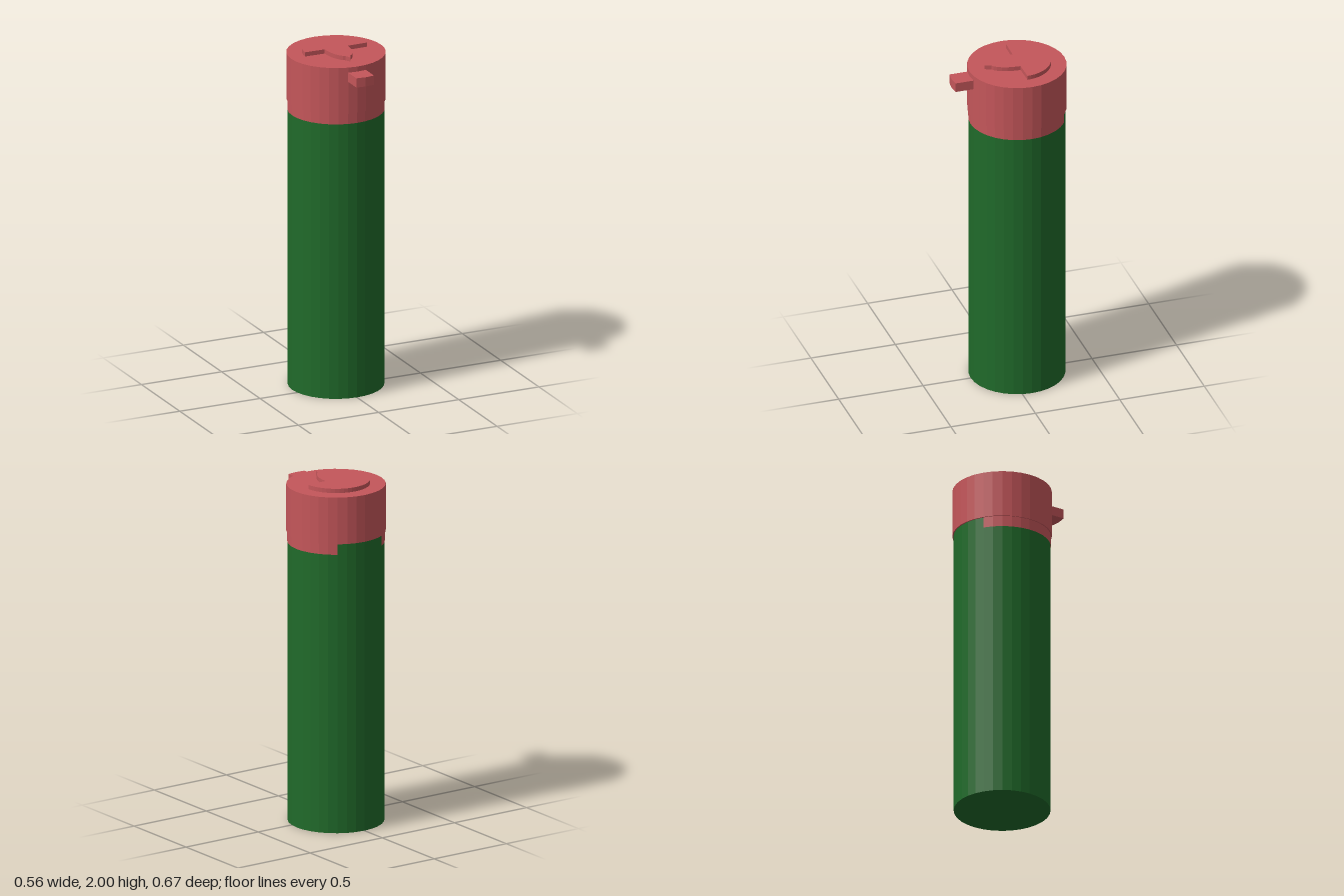
import * as THREE from 'three';

const SIDES = 32;
const AXIS_Z = -0.055; // the barrel axis sits slightly behind the origin
const red = new THREE.MeshStandardMaterial({ color: 0xc4565a, flatShading: true });
const redThin = new THREE.MeshStandardMaterial({ color: 0xc4565a, flatShading: true, side: THREE.DoubleSide });
const green = new THREE.MeshStandardMaterial({ color: 0x206a2a, flatShading: true });

function part(name, geometry, material) {
  const mesh = new THREE.Mesh(geometry, material);
  mesh.name = name;
  return mesh;
}

// Upright cylinder on the barrel axis between two heights
function drum(name, radius, y0, y1, material) {
  const mesh = part(name, new THREE.CylinderGeometry(radius, radius, y1 - y0, SIDES), material);
  mesh.position.set(0, (y0 + y1) / 2, AXIS_Z);
  return mesh;
}

// Plan outline (x, z) mirrored across x = 0 and raised from y0 to y1
function plate(name, half, y0, y1, material) {
  const points = half.map(([x, z]) => new THREE.Vector2(x, -z));
  const mirrored = half.filter(([x]) => x > 0).reverse().map(([x, z]) => new THREE.Vector2(-x, -z));
  const geometry = new THREE.ExtrudeGeometry(new THREE.Shape([...points, ...mirrored]), {
    depth: y1 - y0, bevelEnabled: false,
  });
  geometry.rotateX(-Math.PI / 2);
  geometry.translate(0, y0, 0);
  return part(name, geometry, material);
}

export function createModel() {
  const group = new THREE.Group();

  group.add(drum('body', 0.273, 0, 1.71, green));
  group.add(drum('lid', 0.28, 1.70, 1.975, red));

  // Collar under the lid, open over six facets at the back
  const gap = 3 * (2 * Math.PI / SIDES);
  const collar = part('collar', new THREE.CylinderGeometry(
    0.2745, 0.2745, 0.07, SIDES - 6, 1, true, Math.PI + gap, 2 * Math.PI - 2 * gap), redThin);
  collar.position.set(0, 1.672, AXIS_Z);
  group.add(collar);

  // Front tab with a slightly bowed tip
  group.add(plate('tab', [[0, 0.15], [0.055, 0.15], [0.055, 0.326], [0, 0.332]], 1.89, 1.945, red));

  // Raised relief on top: half-round cap, then a tapering stem ending in a point
  const relief = [];
  for (let i = 0; i <= 12; i++) {
    const a = (i / 12) * Math.PI / 2;
    relief.push([0.192 * Math.sin(a), AXIS_Z - 0.192 * Math.cos(a)]);
  }
  relief.push([0.072, -0.053], [0.069, -0.015], [0.063, 0.02], [0.053, 0.05],
    [0.04, 0.075], [0.027, 0.092], [0.014, 0.101], [0, 0.137]);
  group.add(plate('topRelief', relief, 1.97, 2.0, red));

  return group;
}
